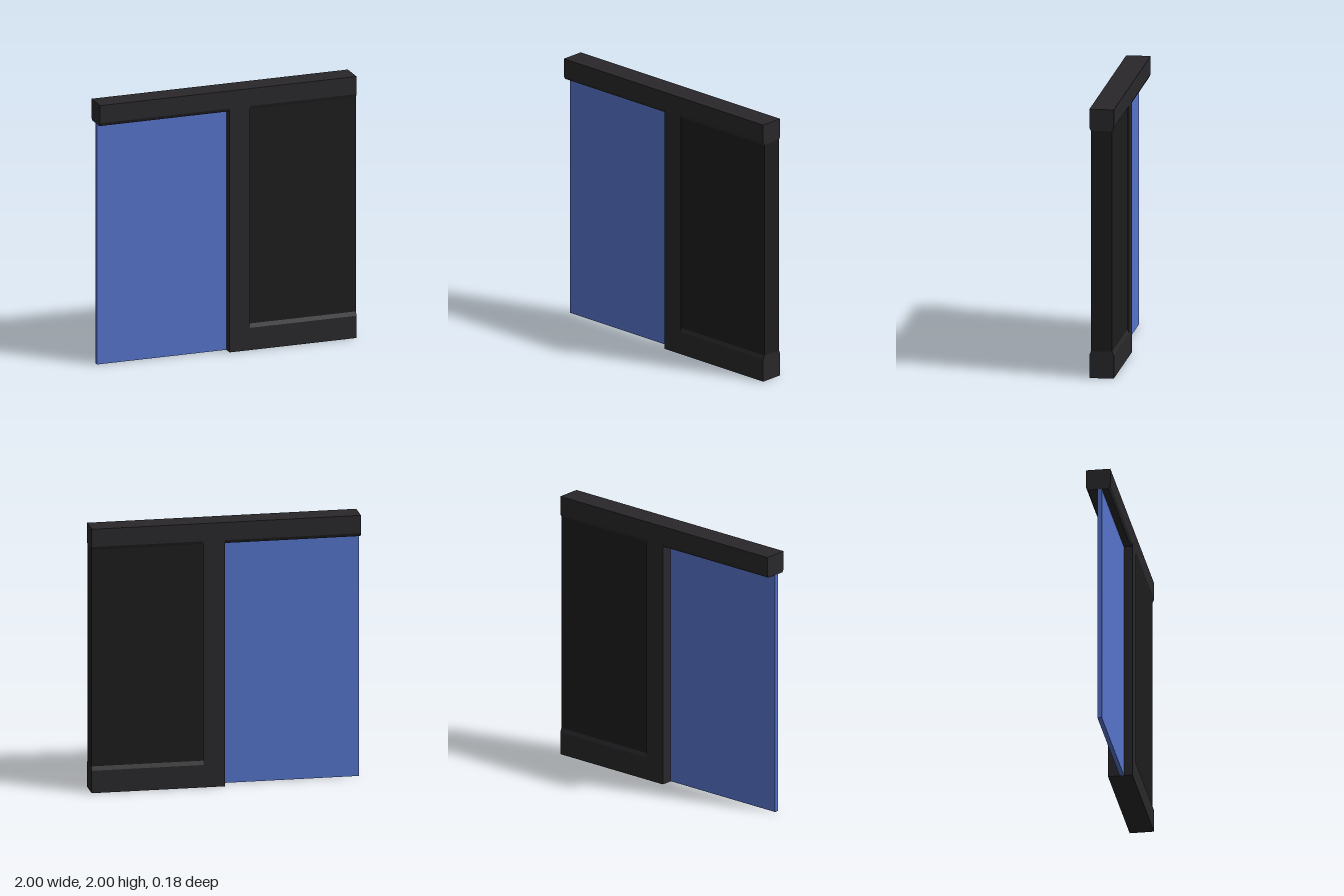
import * as THREE from 'three';

const FRAME = new THREE.MeshStandardMaterial({ color: 0x29272a });
const INFILL = new THREE.MeshStandardMaterial({ color: 0x1d1d1d });
const BLUE = new THREE.MeshStandardMaterial({ color: 0x5674cb });

const HALF = 0.09;   // half depth of the frame
const INSET = 0.078; // half depth at the recessed panel

// Box given by its limits on each axis
function box(name, [x0, x1], [y0, y1], [z0, z1], material) {
  const mesh = new THREE.Mesh(new THREE.BoxGeometry(x1 - x0, y1 - y0, z1 - z0), material);
  mesh.position.set((x0 + x1) / 2, (y0 + y1) / 2, (z0 + z1) / 2);
  mesh.name = name;
  return mesh;
}

// Beam along x: outer edge square, inner edge bevelled on front and back
function beam(name, x0, x1, outerY, bevelY, innerY) {
  const shape = new THREE.Shape([
    [-HALF, outerY], [HALF, outerY], [HALF, bevelY],
    [INSET, innerY], [-INSET, innerY], [-HALF, bevelY],
  ].map(([z, y]) => new THREE.Vector2(-z, y)));
  const geometry = new THREE.ExtrudeGeometry(shape, { depth: x1 - x0, bevelEnabled: false });
  geometry.rotateY(Math.PI / 2);
  geometry.translate(x0, 0, 0);
  const mesh = new THREE.Mesh(geometry, FRAME);
  mesh.name = name;
  return mesh;
}

export function createModel() {
  const model = new THREE.Group();
  model.name = 'slidingDoorWall';

  // Frame: full-width header, bottom rail and centre post
  model.add(beam('header', -1, 1, 2, 1.865, 1.84));
  model.add(beam('bottomRail', 0.01, 1, 0, 0.17, 0.2));
  model.add(box('centrePost', [0.01, 0.168], [0, 1.87], [-HALF, HALF], FRAME));

  // Recessed fixed panel, flush with the frame at its open end
  model.add(box('fixedPanel', [0.15, 1], [0.19, 1.85], [-INSET, INSET], INFILL));

  // Thin blue door leaf
  model.add(box('doorLeaf', [-1, 0.02], [0.002, 1.85], [-0.005, 0.027], BLUE));

  return model;
}
